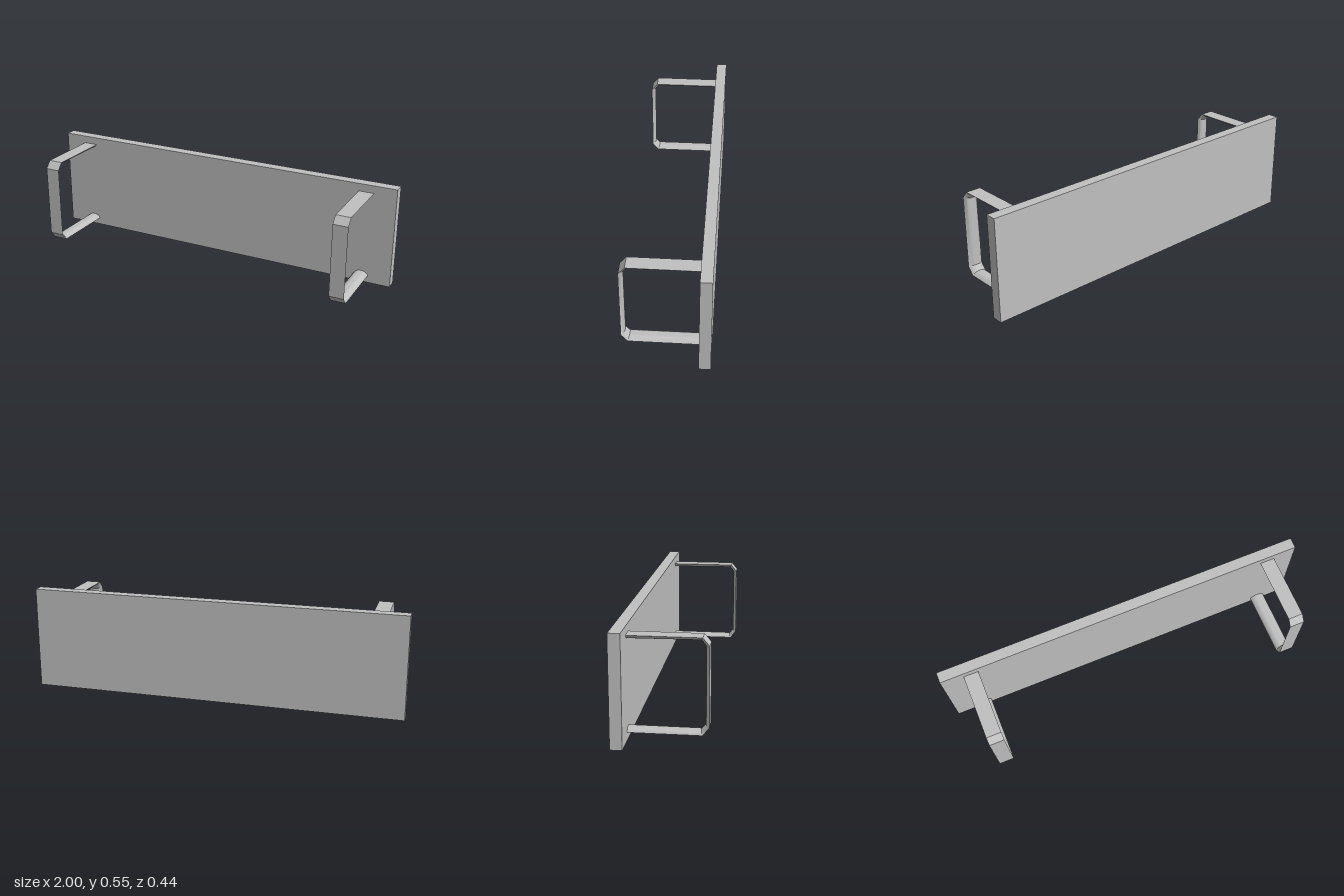
import * as THREE from 'three';
import { toCreasedNormals } from 'three/addons/utils/BufferGeometryUtils.js';

// Bent handle: each path station is [outer z, outer y, inner z, inner y]
const PATH = [
  [-0.17, 0.505, -0.17, 0.483],
  [0.188, 0.505, 0.18, 0.486],
  [0.22, 0.467, 0.201, 0.46],
  [0.22, 0.079, 0.201, 0.086],
  [0.188, 0.041, 0.18, 0.061],
  [-0.17, 0.041, -0.17, 0.062],
];

// Sweep a D-shaped section (flat outside, rounded inside) along the path
function handleGeometry(halfWidth = 0.04, segments = 10) {
  const positions = [], index = [], ring = segments + 1;
  const edge = 2 * Math.atan(0.5); // half-angle of the rounded side
  for (const [oz, oy, iz, iy] of PATH) {
    for (let j = 0; j <= segments; j++) {
      const a = edge * (2 * j / segments - 1);
      const depth = (Math.cos(a) - Math.cos(edge)) / (1 - Math.cos(edge));
      positions.push(
        halfWidth * Math.sin(a) / Math.sin(edge),
        oy + (iy - oy) * depth,
        oz + (iz - oz) * depth
      );
    }
  }
  for (let i = 0; i < PATH.length - 1; i++) {
    for (let j = 0; j < ring; j++) {
      const k = (j + 1) % ring;
      const a = i * ring + j, c = i * ring + k;
      const b = a + ring, d = c + ring;
      index.push(a, c, b, c, d, b);
    }
  }
  const geometry = new THREE.BufferGeometry();
  geometry.setAttribute('position', new THREE.Float32BufferAttribute(positions, 3));
  geometry.setIndex(index);
  return toCreasedNormals(geometry, 0.6);
}

export function createModel() {
  const model = new THREE.Group();
  const grey = new THREE.MeshStandardMaterial({ color: 0xc0c0c0 });
  grey.name = 'light grey';

  // Front panel
  const panel = new THREE.Mesh(new THREE.BoxGeometry(2, 0.546, 0.058), grey);
  panel.name = 'panel';
  panel.position.set(0, 0.273, -0.19);
  model.add(panel);

  // Pair of handles, ends set into the panel
  const geometry = handleGeometry();
  for (const side of [-1, 1]) {
    const handle = new THREE.Mesh(geometry, grey);
    handle.name = side > 0 ? 'leftHandle' : 'rightHandle';
    handle.position.x = side * 0.84;
    model.add(handle);
  }
  return model;
}
